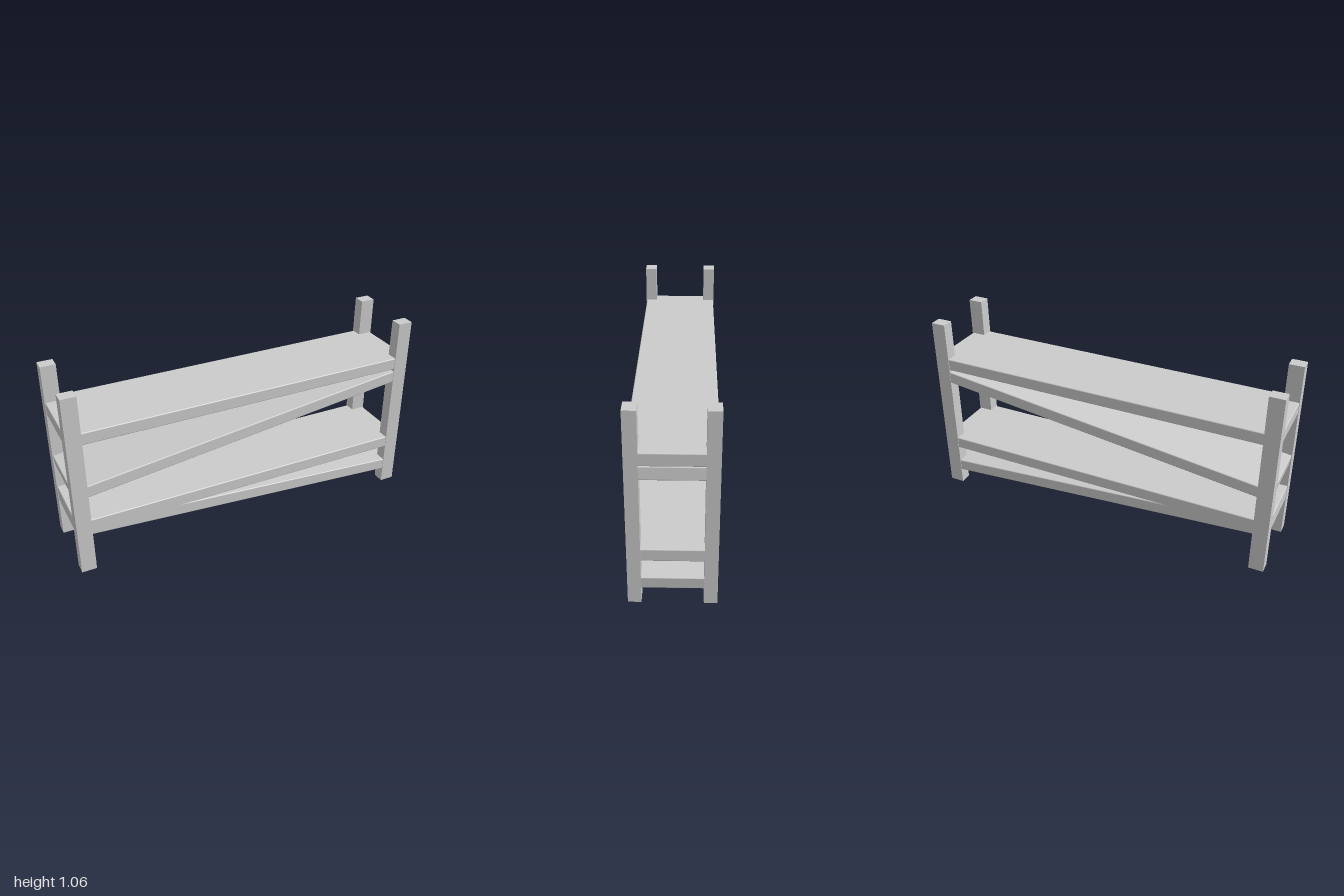
import * as THREE from 'three';
import { RoundedBoxGeometry } from 'three/addons/geometries/RoundedBoxGeometry.js';

export function createModel() {
  const group = new THREE.Group();
  const material = new THREE.MeshStandardMaterial({ color: 0xcccccc });

  const add = (name, geometry, x, y, z, tilt = 0) => {
    const mesh = new THREE.Mesh(geometry, material);
    mesh.name = name;
    mesh.position.set(x, y, z);
    mesh.rotation.z = tilt;
    group.add(mesh);
  };

  // Four corner posts; the pair on the left stands a hair higher
  const postHeight = 1.053;
  const postGeometry = new THREE.BoxGeometry(0.082, postHeight, 0.066);
  for (const side of [-1, 1]) {
    for (const face of [-1, 1]) {
      const name = (face > 0 ? 'front' : 'back') + (side > 0 ? 'Left' : 'Right') + 'Post';
      const lift = side > 0 ? 0.005 : 0;
      add(name, postGeometry, side * 0.959, postHeight / 2 + lift, face * 0.184);
    }
  }

  // Four softly edged boards: two level, two sloping (rise per unit of x)
  const boards = [
    ['topShelf', 0.813, 0],
    ['upperSlopedShelf', 0.615, 0.126],
    ['lowerShelf', 0.288, 0],
    ['bottomSlopedShelf', 0.194, -0.074],
  ];
  for (const [name, y, slope] of boards) {
    const tilt = Math.atan(slope);
    const length = 1.996 / Math.cos(tilt) - 0.068 * Math.abs(Math.sin(tilt));
    add(name, new RoundedBoxGeometry(length, 0.068, 0.428, 3, 0.006), 0, y, 0, tilt);
  }

  return group;
}
